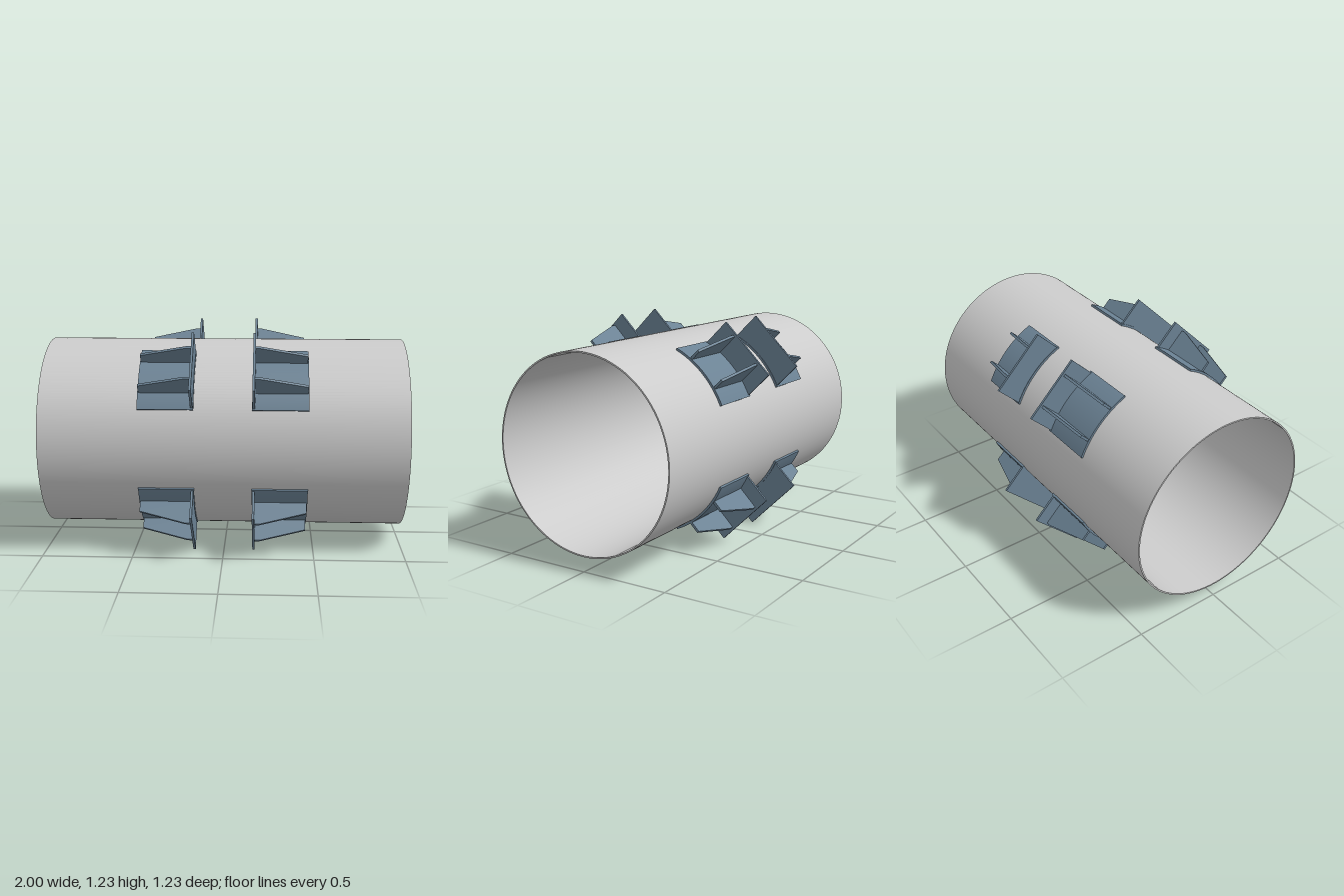
import * as THREE from 'three';
import { toCreasedNormals } from 'three/addons/utils/BufferGeometryUtils.js';

const CENTER_Y = 0.614;
const PIPE_R = 0.533, PIPE_WALL = 0.008;
const PAD_IN = 0.53, PAD_OUT = 0.545;

const pipeMat = new THREE.MeshStandardMaterial({ color: 0xcccccc });
const bracketMat = new THREE.MeshStandardMaterial({ color: 0x6b8294 });

// Extrude a shape along z from z0 to z1, smooth on curves and sharp on edges
function extrude(shape, z0, z1, curveSegments) {
  const geo = new THREE.ExtrudeGeometry(shape, { depth: z1 - z0, bevelEnabled: false, curveSegments });
  geo.translate(0, 0, z0);
  return toCreasedNormals(geo, 0.5);
}

function part(name, geo, mat) {
  const mesh = new THREE.Mesh(geo, mat);
  mesh.name = name;
  return mesh;
}

// One bracket: x = around the pipe, y = outward, z = along the pipe
function makeBracket(padGeo, plateGeo, ribGeo) {
  const bracket = new THREE.Group();
  bracket.name = 'bracket';
  bracket.add(part('saddlePad', padGeo, bracketMat), part('endPlate', plateGeo, bracketMat));
  for (const side of [-1, 1]) {
    const rib = part('rib', ribGeo, bracketMat);
    rib.position.x = side * 0.1;
    bracket.add(rib);
  }
  return bracket;
}

export function createModel() {
  const model = new THREE.Group();
  model.name = 'pipeWithBrackets';

  // Thin-walled pipe lying along x
  const ring = new THREE.Shape().absarc(0, 0, PIPE_R, 0, Math.PI * 2);
  ring.holes.push(new THREE.Path().absarc(0, 0, PIPE_R - PIPE_WALL, 0, Math.PI * 2, true));
  const pipe = part('pipe', extrude(ring, -1, 1, 96), pipeMat);
  pipe.rotation.y = Math.PI / 2;
  pipe.position.y = CENTER_Y;
  model.add(pipe);

  // Curved pad hugging the pipe
  const up = Math.PI / 2, half = 0.368;
  const pad = new THREE.Shape();
  pad.absarc(0, 0, PAD_OUT, up - half, up + half, false);
  pad.absarc(0, 0, PAD_IN, up + half, up - half, true);
  const padGeo = extrude(pad, 0.157, 0.46, 20);

  // Upright end plate with a hollowed lower edge
  const plateHalf = 0.188, a = Math.asin(plateHalf / 0.535);
  const plate = new THREE.Shape();
  plate.moveTo(plateHalf, 0.68);
  plate.lineTo(-plateHalf, 0.68);
  plate.absarc(0, 0, 0.535, up + a, up - a, true);
  const plateGeo = extrude(plate, 0.16, 0.173, 20);

  // Tapered rib bracing the plate
  const rib = new THREE.Shape([[0.17, 0.53], [0.455, 0.53], [0.455, 0.597], [0.2, 0.666], [0.17, 0.666]]
    .map(([x, y]) => new THREE.Vector2(x, y)));
  const ribGeo = extrude(rib, -0.007, 0.007, 1);
  ribGeo.rotateY(-Math.PI / 2);

  // Four brackets around the pipe, in two facing rows
  for (let i = 0; i < 4; i++) {
    for (const side of [-1, 1]) {
      const bracket = makeBracket(padGeo, plateGeo, ribGeo);
      bracket.rotation.set(Math.PI / 4 + i * Math.PI / 2, side * Math.PI / 2, 0);
      bracket.position.y = CENTER_Y;
      model.add(bracket);
    }
  }
  return model;
}
